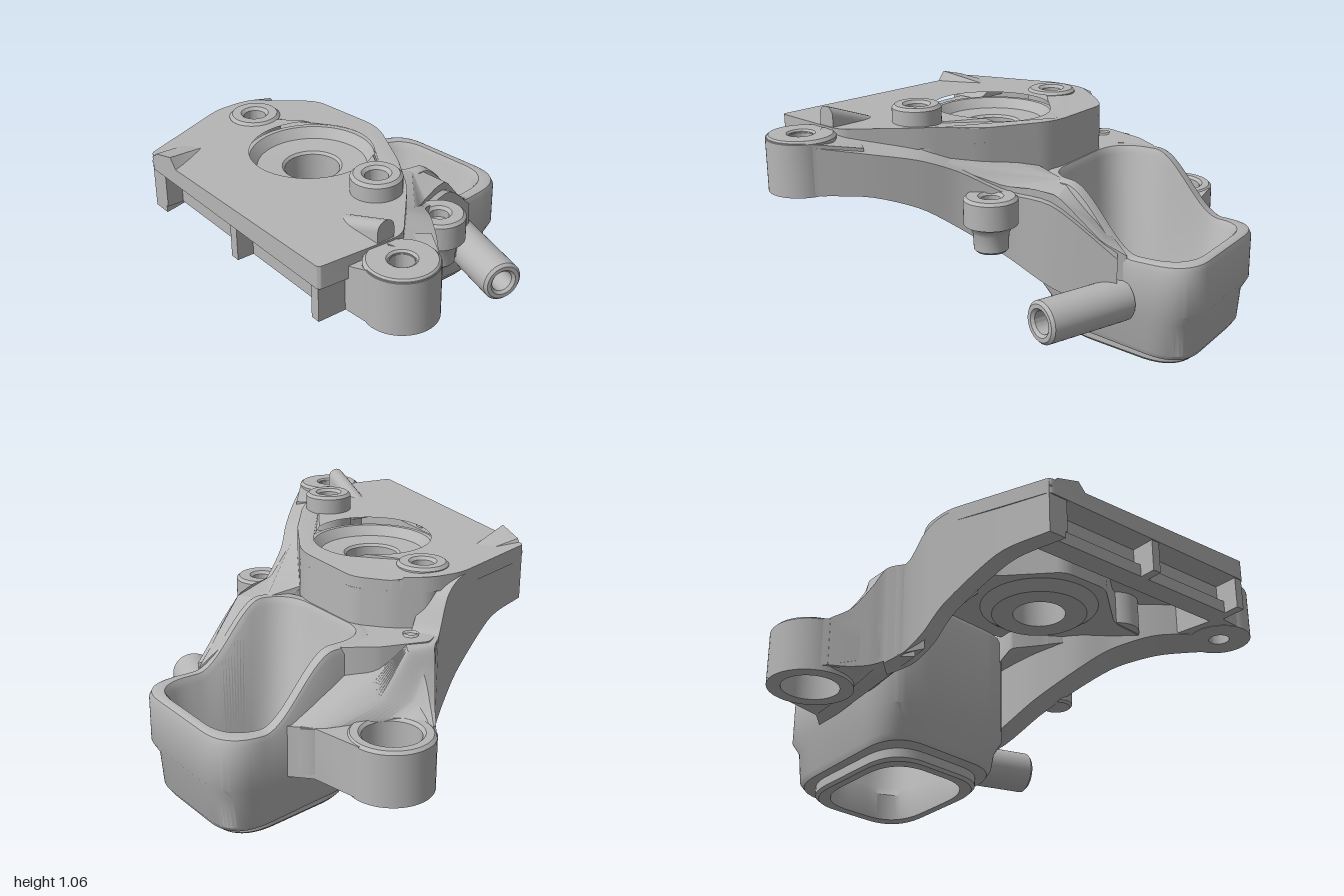
import * as THREE from 'three';
import { toCreasedNormals } from 'three/addons/utils/BufferGeometryUtils.js';

const castMetal = new THREE.MeshStandardMaterial({ color: 0xb6b6b6 });
castMetal.name = 'cast metal';

const V = (x, y, z) => new THREE.Vector3(x, y, z);
const val = (f, x, z) => (typeof f === 'function' ? f(x, z) : f);

// Polygon with rounded corners; a point is [x, z, optional radius]
function rounded(pts, r) {
  const s = new THREE.Shape();
  pts.forEach((p, i) => {
    const c = new THREE.Vector2(p[0], p[1]);
    const cut = q => {
      const d = new THREE.Vector2(q[0], q[1]).sub(c);
      const len = d.length();
      return d.multiplyScalar(Math.min(p[2] ?? r, len * 0.49) / len).add(c);
    };
    const a = cut(pts[(i + pts.length - 1) % pts.length]);
    const b = cut(pts[(i + 1) % pts.length]);
    if (i) s.lineTo(a.x, a.y); else s.moveTo(a.x, a.y);
    s.quadraticCurveTo(c.x, c.y, b.x, b.y);
  });
  s.closePath();
  return s;
}

// Upright prism from a plan outline, with round holes and sloping top and bottom
function prism(shape, holes, bottom, top) {
  for (const [x, z, r] of holes) shape.holes.push(new THREE.Path().absarc(x, z, r, 0, Math.PI * 2, true));
  const g = new THREE.ExtrudeGeometry(shape, { depth: 1, bevelEnabled: false, curveSegments: 20 });
  g.rotateX(Math.PI / 2);
  const p = g.attributes.position;
  for (let i = 0; i < p.count; i++) {
    p.setY(i, val(p.getY(i) > -0.5 ? top : bottom, p.getX(i), p.getZ(i)));
  }
  return g;
}

// Joins equal loops of points; capped at the ends, or wrapped back to the first
function loft(rings, wrap = false) {
  const n = rings[0].length, m = rings.length, idx = [];
  for (let i = 0; i < (wrap ? m : m - 1); i++) {
    for (let j = 0; j < n; j++) {
      const a = i * n + j, b = i * n + (j + 1) % n;
      const c = ((i + 1) % m) * n + j, d = ((i + 1) % m) * n + (j + 1) % n;
      idx.push(a, b, d, a, d, c);
    }
  }
  if (!wrap) {
    const e = (m - 1) * n;
    for (let j = 1; j < n - 1; j++) idx.push(0, j + 1, j, e, e + j, e + j + 1);
  }
  const pts = rings.flat();
  let volume = 0;
  for (let i = 0; i < idx.length; i += 3) {
    volume += pts[idx[i]].dot(V(0, 0, 0).crossVectors(pts[idx[i + 1]], pts[idx[i + 2]]));
  }
  if (volume < 0) idx.reverse();
  const g = new THREE.BufferGeometry().setFromPoints(pts);
  g.setIndex(idx);
  return g;
}

// Loft with corners running along smooth curves through the sections
function smoothLoft(sections, steps = 28) {
  const curves = sections[0].map((_, k) => new THREE.CatmullRomCurve3(sections.map(s => V(...s[k])), false, 'catmullrom', 0.4));
  const rings = [];
  for (let i = 0; i <= steps; i++) rings.push(curves.map(c => c.getPoint(i / steps)));
  return loft(rings);
}

// Wall section: outer plan point, bottom, top, inward offset, rise of the inner top
const wall = ([x, z, bottom, top, dx, dz], rise = 0) => [
  [x, bottom, z], [x, top, z], [x + dx, top + rise, z + dz], [x + dx, bottom, z + dz],
];

// Ring with a bored hole and softened top edge
function ring(inner, outer, y0, y1) {
  const c = 0.012;
  const pts = [[inner, y0], [outer, y0], [outer, y1 - c], [outer - c, y1], [inner + c, y1], [inner, y1 - c], [inner, y0]];
  return new THREE.LatheGeometry(pts.map(p => new THREE.Vector2(...p)), 48);
}

export function createModel() {
  const model = new THREE.Group();
  model.name = 'knuckle casting';
  const add = (name, geometry, x = 0, y = 0, z = 0) => {
    geometry.deleteAttribute('uv');
    const mesh = new THREE.Mesh(toCreasedNormals(geometry, 0.6), castMetal);
    mesh.name = name;
    mesh.position.set(x, y, z);
    model.add(mesh);
    return mesh;
  };

  // Deck plate, and the deep body behind and around the hub
  const bores = [[0.44, 0.29, 0.045], [-0.39, 0.27, 0.045]];
  const backEdge = [[0.5, 0.19], [0.3, 0.06], [0.04, -0.06], [-0.04, -0.072], [-0.36, -0.035], [-0.47, 0.08], [-0.54, 0.22]];
  add('deck', prism(
    rounded([[-0.37, 0.78, 0.02], [0.73, 0.78, 0.02], [0.75, 0.42], ...backEdge, [-0.54, 0.36]], 0.05),
    [[0.01, 0.27, 0.25], ...bores], 0.89, (x, z) => (z < 0.12 ? 0.95 : 0.965) + 0.025 * x));
  add('deckBody', prism(
    rounded([[-0.5, 0.34], [-0.3, 0.36], [-0.1, 0.56], [0.12, 0.56], [0.36, 0.36], [0.55, 0.34], ...backEdge], 0.04),
    [[0.01, 0.27, 0.24]], 0.735, 0.895));

  // Sunken hub seat with central bore
  const hub = [[0.11, 0.7], [0.2, 0.7], [0.27, 0.75], [0.27, 0.935], [0.25, 0.935], [0.22, 0.895],
    [0.12, 0.89], [0.11, 0.88], [0.11, 0.7]];
  add('hubSeat', new THREE.LatheGeometry(hub.map(p => new THREE.Vector2(...p)), 64), 0.01, 0, 0.27);

  // Front wall with its lip and upright ribs under the deck
  add('frontWall', new THREE.BoxGeometry(1.04, 0.15, 0.06), 0.18, 0.825, 0.64);
  add('frontLip', new THREE.BoxGeometry(0.98, 0.055, 0.05), 0.2, 0.7775, 0.68);
  for (const x of [-0.3, 0.2, 0.7]) add('frontRib', new THREE.BoxGeometry(0.04, 0.16, 0.15), x, 0.83, 0.7);

  // Raised front corner and wedge fin
  add('cornerPad', smoothLoft([
    [[-0.37, 0.92, 0.78], [-0.33, 0.97, 0.78], [-0.22, 1, 0.78], [-0.15, 0.92, 0.78]],
    [[-0.4, 0.9, 0.55], [-0.36, 0.945, 0.55], [-0.3, 0.945, 0.55], [-0.22, 0.9, 0.55]],
  ], 6));
  const finSection = (x, top) => {
    const pts = [[x, 0.88, 0.455], [x, 0.88, 0.53]];
    for (let i = 0; i <= 10; i++) {
      const a = Math.PI * i / 10;
      pts.push([x, top - 0.0375 + 0.0375 * Math.sin(a), 0.4925 + 0.0375 * Math.cos(a)]);
    }
    return pts;
  };
  add('fin', smoothLoft([finSection(0.5, 0.975), finSection(0.74, 1.065)], 4));

  // Hollow socket: each loop is [half width, half depth, height]
  const ease = (a, b, z) => THREE.MathUtils.smoothstep(z, a, b);
  const rim = z => 0.475 + 0.268 * ease(-0.54, -0.22, z);
  const foot = z => 0.03 + 0.1 * (z + 0.38);
  const base = z => 0.085 + 0.12 * (z + 0.38);
  const loops = [
    [0.225, 0.245, foot], [0.26, 0.28, foot], [0.27, 0.29, z => foot(z) + 0.012],
    [0.27, 0.29, z => foot(z) + 0.05], [0.305, 0.325, base], [0.317, 0.34, z => base(z) + 0.025],
    [0.325, 0.35, 0.21], [0.345, 0.375, 0.26], [0.345, 0.375, z => rim(z) - 0.03],
    [0.337, 0.367, z => rim(z) - 0.006], [0.325, 0.358, rim], [0.295, 0.33, rim],
    [0.28, 0.315, z => rim(z) - 0.03], [0.24, 0.27, 0.16], [0.225, 0.245, 0.12],
  ];
  const turn = 0.13;
  add('socket', loft(loops.map(([w, d, h]) =>
    rounded([[-w, -d], [w, -d], [w, d], [-w, d]], 0.17).getSpacedPoints(144).slice(0, -1).map(p => {
      const x = -0.24 + p.x * Math.cos(turn) + p.y * Math.sin(turn);
      const z = -0.387 - p.x * Math.sin(turn) + p.y * Math.cos(turn);
      return V(x, typeof h === 'function' ? h(z) : h, z);
    })), true));

  // Left ear, the web that hugs it, and the arm rising from it
  add('leftEar', ring(0.115, 0.17, 0.265, 0.492), -0.83, 0, -0.125);
  const web = new THREE.Shape();
  web.absarc(-0.83, -0.125, 0.15, 2.2, 4.5 - Math.PI * 2, true);
  web.lineTo(-0.87, -0.29);
  web.lineTo(-0.66, -0.36);
  web.lineTo(-0.58, -0.46);
  web.lineTo(-0.58, 0.22);
  web.lineTo(-0.66, 0.16);
  web.lineTo(-0.93, 0.01);
  web.closePath();
  add('earWeb', prism(web, [], (x, z) => (z > 0.1 ? 0.345 : 0.272), 0.485));
  const armSection = (x, z0, z1, low, mid, high, under) => [
    [x, 0.29, z0], [x, low, z0], [x, mid, z0 + (z1 - z0) * 0.5], [x, high, z0 + (z1 - z0) * 0.75],
    [x, high, z1], [x, under, z1],
  ];
  add('leftArm', smoothLoft([
    armSection(-0.86, 0.005, 0.05, 0.46, 0.47, 0.49, 0.29),
    armSection(-0.79, 0.005, 0.087, 0.49, 0.5, 0.54, 0.29),
    armSection(-0.725, -0.07, 0.125, 0.49, 0.54, 0.64, 0.3),
    armSection(-0.68, -0.32, 0.15, 0.485, 0.55, 0.725, 0.32),
    armSection(-0.63, -0.4, 0.2, 0.48, 0.61, 0.74, 0.35),
    armSection(-0.55, -0.46, 0.24, 0.48, 0.67, 0.742, 0.38),
  ], 40));
  add('shelf', prism(
    rounded([[-0.66, 0.14], [-0.62, -0.06], [-0.55, -0.2], [-0.5, -0.04], [-0.3, 0.01], [-0.3, 0.26], [-0.56, 0.26]], 0.02),
    [], x => (x < -0.45 ? 0.45 : 0.7), 0.742));
  add('shelfEyelet', ring(0.02, 0.034, 0.72, 0.75), -0.57, 0, 0.11);

  // Curved side walls
  add('leftWall', smoothLoft([
    [-0.37, 0.775, 0.72, 0.94, 0.08, 0], [-0.45, 0.57, 0.69, 0.94, 0.08, -0.02],
    [-0.54, 0.36, 0.54, 0.935, 0.08, -0.04], [-0.58, 0.27, 0.43, 0.88, 0.09, -0.05],
    [-0.62, 0.21, 0.36, 0.75, 0.09, -0.07], [-0.68, 0.155, 0.31, 0.72, 0.07, -0.08],
  ].map(s => wall(s))));
  add('rightWall', smoothLoft([
    [0.92, 0.4, 0.755, 0.95, -0.16, 0.1], [0.74, 0.255, 0.735, 0.91, -0.16, 0.13],
    [0.58, 0.14, 0.67, 0.87, -0.15, 0.12], [0.45, 0.05, 0.57, 0.81, -0.14, 0.12],
    [0.33, -0.09, 0.45, 0.72, -0.13, 0.1], [0.25, -0.27, 0.33, 0.68, -0.12, 0.09],
    [0.13, -0.5, 0.24, 0.48, -0.05, 0.04],
  ].map(s => wall(s, 0.03))));
  const saddle = z => 0.48 + 0.26 * ease(-0.54, -0.2, z) + 0.12 * ease(-0.1, 0.2, z);
  add('rightWeb', prism(
    rounded([[0.08, -0.52], [0.15, -0.42], [0.22, -0.27], [0.27, -0.16], [0.31, -0.07], [0.42, 0.06], [0.5, 0.14],
      [0.4, 0.2], [0.2, 0.08], [0.06, 0.02], [0.07, -0.1], [0.09, -0.2], [0.07, -0.4]], 0.02),
    [], (x, z) => saddle(z) - 0.13, (x, z) => saddle(z)));

  // Right front lug, merged into the deck corner
  const lug = new THREE.Shape();
  lug.absarc(0.855, 0.515, 0.136, -0.9, 1.75, false);
  lug.lineTo(0.7, 0.66);
  lug.lineTo(0.66, 0.4);
  lug.lineTo(0.74, 0.28);
  lug.closePath();
  add('rightLug', prism(lug, [[0.855, 0.515, 0.046]], 0.752, x => (x < 0.76 ? 0.93 : 0.968)));
  add('rightLugCollar', ring(0.045, 0.138, 0.75, 0.975), 0.855, 0, 0.515);

  // Deck bosses and the stepped rear boss
  add('rightBoss', ring(0.045, 0.1, 0.74, 1.05), 0.44, 0, 0.29);
  add('leftBoss', ring(0.045, 0.105, 0.74, 0.968), -0.39, 0, 0.27);
  add('rearBoss', ring(0.04, 0.11, 0.61, 0.725), 0.4, 0, -0.07);
  const stem = [[0, 0.495], [0.06, 0.495], [0.07, 0.505], [0.073, 0.57], [0.085, 0.595], [0.108, 0.615], [0.108, 0.68], [0, 0.68]];
  add('rearBossStem', new THREE.LatheGeometry(stem.map(p => new THREE.Vector2(...p)), 40), 0.4, 0, -0.07);

  // Side pipe
  const pipe = add('sidePipe', ring(0.048, 0.09, 0, 0.41), 0.08, 0.29, -0.485);
  pipe.quaternion.setFromUnitVectors(V(0, 1, 0), V(0.97, 0, 0.24).normalize());

  return model;
}
